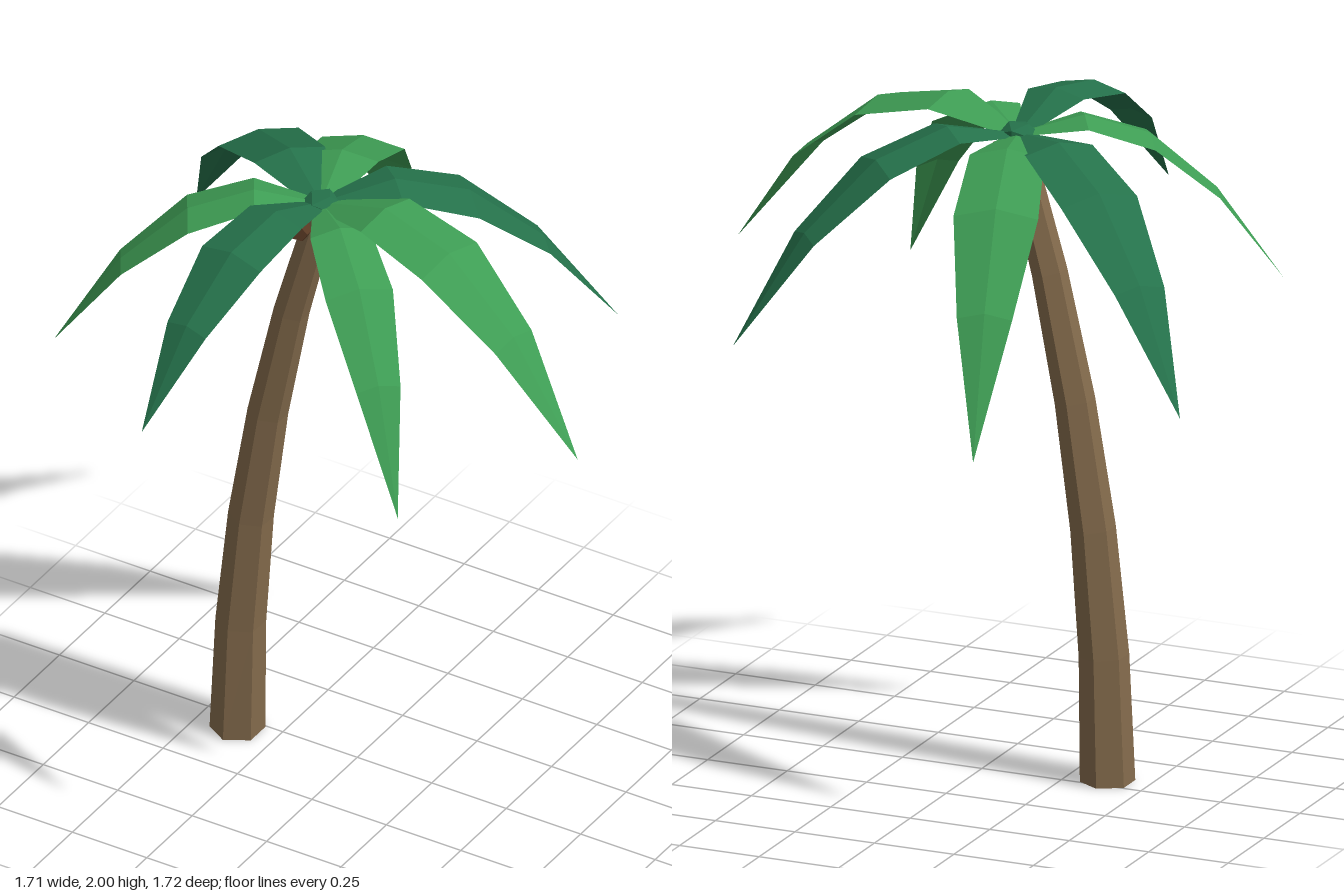
import * as THREE from 'three';

const trunkBrown = new THREE.MeshStandardMaterial({ color: 0x846b4c });
const huskBrown = new THREE.MeshStandardMaterial({ color: 0x5a3a24 });
const lightGreen = new THREE.MeshStandardMaterial({ color: 0x3e9d54, side: THREE.DoubleSide });
const darkGreen = new THREE.MeshStandardMaterial({ color: 0x25724b, side: THREE.DoubleSide });
trunkBrown.name = 'trunk brown';
huskBrown.name = 'husk brown';
lightGreen.name = 'light green';
darkGreen.name = 'dark green';

const CROWN = new THREE.Vector3(-0.095, 1.92, 0.045);

// Faceted normals
function faceted(geometry) {
  const flat = geometry.toNonIndexed();
  flat.computeVertexNormals();
  return flat;
}

function addMesh(group, name, geometry, material) {
  const mesh = new THREE.Mesh(geometry, material);
  mesh.name = name;
  group.add(mesh);
  return mesh;
}

// Six-sided tapered trunk, bent along a parabola with tilted rings
function trunkGeometry() {
  const height = 1.89, lean = 0.285;
  const geo = new THREE.CylinderGeometry(0.045, 0.08, height, 6, 5);
  const p = geo.attributes.position;
  for (let i = 0; i < p.count; i++) {
    const t = p.getY(i) / height + 0.5;
    const tilt = Math.atan((2 * lean * t) / height);
    const x = p.getX(i);
    p.setXYZ(i,
      -0.375 + lean * t * t + x * Math.cos(tilt),
      height * t - x * Math.sin(tilt),
      p.getZ(i) + CROWN.z);
  }
  return faceted(geo);
}

// Folded leaf along +x: arches up by rise, ends lower by drop
function frondGeometry(length, rise, drop) {
  const halfWidths = [0.03, 0.115, 0.13, 0.085, 0];
  const geo = new THREE.PlaneGeometry(2, 1, 2, 4);
  const p = geo.attributes.position;
  for (let i = 0; i < p.count; i++) {
    const row = Math.floor(i / 3);
    const t = row / 4;
    const across = p.getX(i) * halfWidths[row] * length;
    const y = rise * t - (rise + drop) * t * t - 0.22 * Math.abs(across);
    p.setXYZ(i, t * length, y, -across);
  }
  return faceted(geo);
}

export function createModel() {
  const model = new THREE.Group();
  model.name = 'palmTree';

  addMesh(model, 'trunk', trunkGeometry(), trunkBrown);

  // Crown bud
  const bud = addMesh(model, 'crownBud', new THREE.IcosahedronGeometry(0.058, 0), darkGreen);
  bud.position.copy(CROWN);
  bud.scale.y = 0.6;

  // Fronds: tip x, tip y, tip z, rise, material
  const fronds = [
    [0.85, 1.44, 0.18, 0.6, lightGreen],
    [0.48, 1.33, 0.565, 0.4, lightGreen],
    [-0.2, 1.56, 0.86, 0.54, darkGreen],
    [-0.745, 1.45, 0.45, 0.4, lightGreen],
    [-0.86, 1.33, -0.525, 0.4, darkGreen],
    [-0.36, 1.23, -0.86, 0.38, lightGreen],
    [0.52, 1.38, -0.585, 0.42, darkGreen],
  ];
  fronds.forEach(([x, y, z, rise, material], i) => {
    const dx = x - CROWN.x, dz = z - CROWN.z;
    const geo = frondGeometry(Math.hypot(dx, dz), rise, CROWN.y - y);
    const frond = addMesh(model, `frond${i + 1}`, geo, material);
    frond.position.copy(CROWN);
    frond.rotation.y = -Math.atan2(dz, dx);
  });

  // Coconuts around the trunk top
  for (let i = 0; i < 3; i++) {
    const a = 0.1 + (i * Math.PI * 2) / 3;
    const nut = addMesh(model, `coconut${i + 1}`, new THREE.DodecahedronGeometry(0.038, 0), huskBrown);
    nut.position.set(CROWN.x + 0.067 * Math.cos(a), 1.845, CROWN.z + 0.067 * Math.sin(a));
  }

  return model;
}
